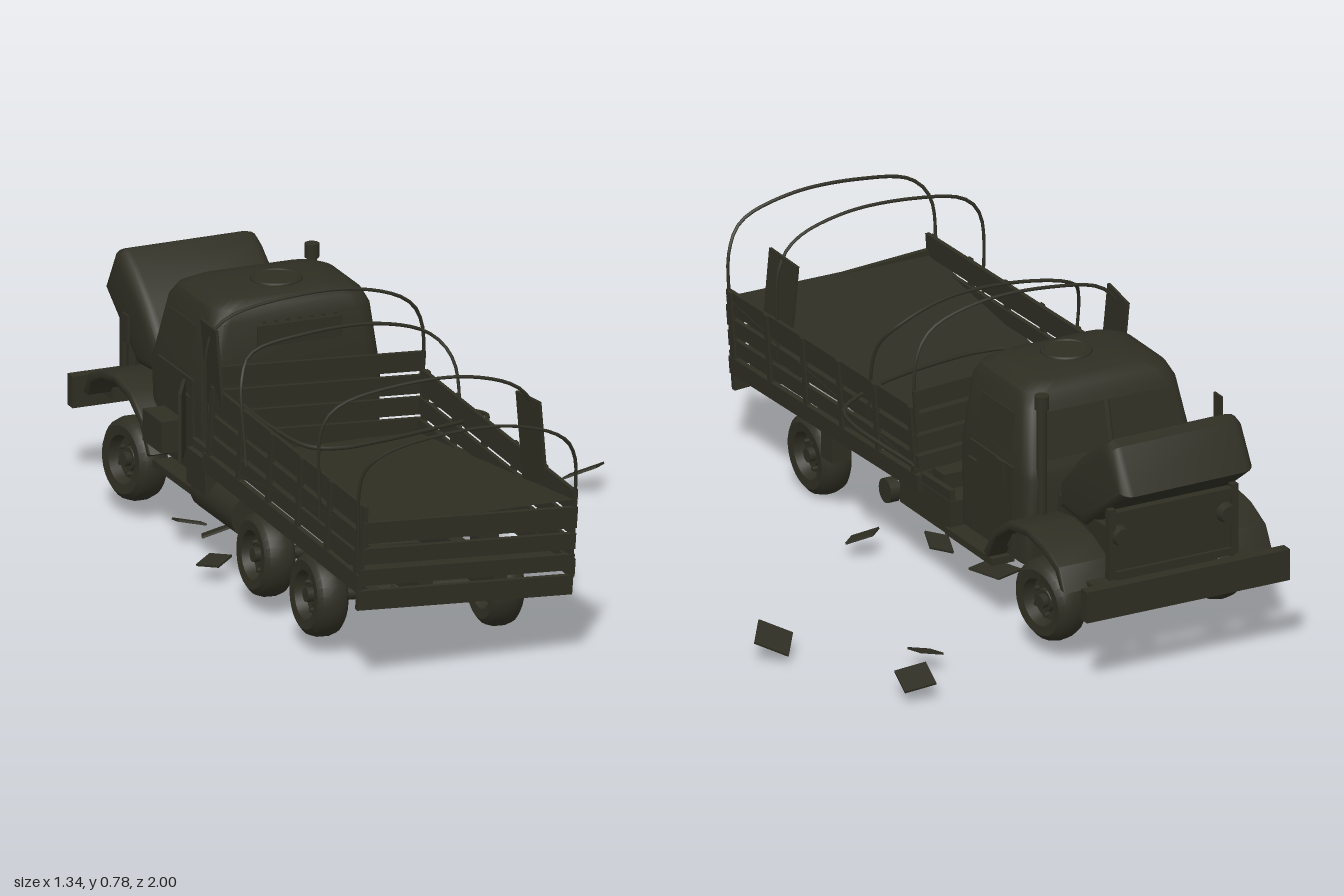
import * as THREE from 'three';
import { toCreasedNormals } from 'three/addons/utils/BufferGeometryUtils.js';

const CX = -0.31; // centre line of the truck

export function createModel() {
  const root = new THREE.Group();
  root.name = 'wreckedTruck';
  const olive = new THREE.MeshStandardMaterial({ color: 0x2f2e23, side: THREE.DoubleSide });
  olive.name = 'darkOlive';

  const add = (name, geo, parent = root) => {
    const m = new THREE.Mesh(geo, olive);
    m.name = name;
    parent.add(m);
    return m;
  };
  // box given by its limits
  const box = (name, x0, x1, y0, y1, z0, z1, parent) => {
    const m = add(name, new THREE.BoxGeometry(x1 - x0, y1 - y0, z1 - z0), parent);
    m.position.set((x0 + x1) / 2, (y0 + y1) / 2, (z0 + z1) / 2);
    return m;
  };
  const cyl = (name, r, len, x, y, z, axis = 'y', parent = root, r2 = r) => {
    const g = new THREE.CylinderGeometry(r, r2, len, 20);
    if (axis === 'x') g.rotateZ(Math.PI / 2);
    if (axis === 'z') g.rotateX(Math.PI / 2);
    const m = add(name, g, parent);
    m.position.set(x, y, z);
    return m;
  };
  const tube = (name, pts, r = 0.005) => {
    const c = new THREE.CatmullRomCurve3(pts.map(p => new THREE.Vector3(...p)), false, 'centripetal');
    return add(name, new THREE.TubeGeometry(c, pts.length * 5, r, 6));
  };
  // side profile in (z, y), extruded across x
  const profile = (name, pts, x0, x1, bevel) => {
    const s = new THREE.Shape(pts.map(p => new THREE.Vector2(...p)));
    const d = x1 - x0 - 2 * bevel;
    const g = new THREE.ExtrudeGeometry(s, {
      depth: d, bevelSize: bevel, bevelOffset: -bevel, bevelThickness: bevel, bevelSegments: 4
    });
    g.translate(0, 0, -d / 2).rotateY(-Math.PI / 2).translate((x0 + x1) / 2, 0, 0);
    return add(name, toCreasedNormals(g, 0.6));
  };
  // stack of rounded rectangles [y, halfWidth, zFront, zBack, cornerRadius]
  const loft = (name, levels) => {
    const pos = [], idx = [], n = 24;
    levels.forEach(([y, hw, z0, z1, r]) => {
      for (let i = 0; i < n; i++) {
        const q = Math.floor(i / 6), a = (q + (i % 6) / 5) * Math.PI / 2;
        const sx = q === 0 || q === 3 ? 1 : -1, sz = q < 2 ? 1 : -1;
        pos.push(CX + sx * (hw - r) + r * Math.cos(a), y, (z0 + z1) / 2 + sz * ((z1 - z0) / 2 - r) + r * Math.sin(a));
      }
    });
    for (let l = 0; l < levels.length - 1; l++) for (let i = 0; i < n; i++) {
      const a = l * n + i, b = l * n + (i + 1) % n;
      idx.push(a, a + n, b, b, a + n, b + n);
    }
    const top = (levels.length - 1) * n;
    for (let i = 1; i < n - 1; i++) idx.push(0, i, i + 1, top, top + i + 1, top + i);
    const g = new THREE.BufferGeometry();
    g.setAttribute('position', new THREE.Float32BufferAttribute(pos, 3));
    g.setIndex(idx);
    return add(name, toCreasedNormals(g, 0.6));
  };

  // cab with roof hatch, windows and doors
  loft('cab', [
    [0.22, 0.26, -0.59, -0.215, 0.03], [0.47, 0.265, -0.61, -0.215, 0.04], [0.5, 0.262, -0.6, -0.215, 0.045],
    [0.66, 0.24, -0.56, -0.22, 0.05], [0.695, 0.225, -0.54, -0.235, 0.06], [0.715, 0.19, -0.51, -0.26, 0.07], [0.722, 0.14, -0.46, -0.3, 0.07]
  ]);
  const hatch = add('roofHatch', new THREE.TorusGeometry(0.065, 0.007, 8, 24).rotateX(Math.PI / 2));
  hatch.position.set(-0.3, 0.722, -0.365);
  cyl('hatchLid', 0.062, 0.008, -0.3, 0.722, -0.365);
  box('rearWindow', -0.42, -0.17, 0.585, 0.645, -0.222, -0.213);
  for (let i = 0; i < 7; i++) cyl('rivet', 0.004, 0.012, -0.4 + i * 0.035, 0.655, -0.217, 'z');
  for (const s of [-1, 1]) {
    const pane = box('windscreenPane', -0.1, 0.1, -0.065, 0.065, -0.004, 0.004);
    pane.position.set(CX + s * 0.108, 0.585, -0.582);
    pane.rotation.x = 0.25;
    const side = box('sideWindow', -0.004, 0.004, -0.055, 0.055, -0.09, 0.09);
    side.position.set(CX + s * 0.252, 0.58, -0.41);
    side.rotation.z = s * 0.14;
    const door = CX + s * 0.266;
    box('door', door - 0.004, door + 0.004, 0.25, 0.49, -0.53, -0.29);
    cyl('doorHandle', 0.005, 0.04, door + s * 0.008, 0.44, -0.32, 'z');
    box('cabStep', CX + s * 0.27 - 0.035, CX + s * 0.27 + 0.035, 0.19, 0.21, -0.48, -0.22);
    // arched front fender reaching in to the engine bay
    const x = CX + s * 0.238;
    profile('frontFender', [
      [-0.46, 0.23], [-0.51, 0.31], [-0.6, 0.37], [-0.7, 0.385], [-0.8, 0.37], [-0.88, 0.335], [-0.915, 0.27],
      [-0.89, 0.27], [-0.86, 0.315], [-0.79, 0.345], [-0.7, 0.36], [-0.61, 0.345], [-0.53, 0.295], [-0.48, 0.22]
    ], x - 0.085, x + 0.085, 0.008);
    cyl('headlight', 0.032, 0.04, CX + s * 0.165, 0.42, -0.94, 'z', root, 0.024);
    box('radiatorPost', CX + s * 0.19 - 0.01, CX + s * 0.19 + 0.01, 0.3, 0.5, -0.945, -0.925);
    box('frontTowBracket', CX + s * 0.22 - 0.03, CX + s * 0.22 + 0.03, 0.25, 0.29, -0.97, -0.88);
  }
  box('mirrorRight', -0.654, -0.648, 0.52, 0.6, -0.6, -0.56);
  box('mirrorLeft', 0.034, 0.04, 0.48, 0.555, -0.62, -0.58);
  const flap = box('bentDoorPlate', -0.005, 0.005, -0.1, 0.1, -0.065, 0.065);
  flap.position.set(-0.615, 0.38, -0.28);
  flap.rotation.y = -0.5;
  box('sideBox', -0.645, -0.57, 0.27, 0.36, -0.48, -0.35);

  // engine bay, loose bonnet, grille and bumper
  box('engineBay', -0.48, -0.14, 0.24, 0.42, -0.91, -0.59);
  const hood = profile('bonnet', [
    [-0.63, 0.39], [-0.63, 0.47], [-0.72, 0.565], [-0.845, 0.66], [-0.885, 0.678], [-0.92, 0.667], [-0.99, 0.545], [-0.77, 0.38]
  ], -0.53, -0.11, 0.035);
  hood.rotation.y = 0.02;
  box('radiator', -0.5, -0.12, 0.3, 0.48, -0.935, -0.905);
  box('grilleTop', -0.51, -0.11, 0.47, 0.49, -0.945, -0.92);
  box('grilleBottom', -0.51, -0.11, 0.295, 0.315, -0.945, -0.92);
  box('frontBumper', -0.64, -0.01, 0.21, 0.3, -1, -0.965);
  cyl('exhaustStack', 0.014, 0.33, -0.09, 0.54, -0.605);
  cyl('stackCap', 0.02, 0.04, -0.09, 0.7, -0.605);
  cyl('airPipe', 0.014, 0.14, -0.51, 0.45, -0.6);

  // chassis, boxes and tank
  for (const x of [-0.42, -0.2]) box('chassisRail', x - 0.02, x + 0.02, 0.215, 0.27, -0.97, 0.93);
  for (const z of [-0.85, -0.45, -0.15, 0.1, 0.42, 0.75]) box('crossMember', -0.42, -0.2, 0.22, 0.26, z - 0.02, z + 0.02);
  box('gearbox', -0.38, -0.24, 0.15, 0.27, -0.55, -0.25);
  box('toolBox', -0.12, -0.015, 0.185, 0.285, -0.23, 0.05);
  box('batteryBox', -0.63, -0.56, 0.23, 0.33, -0.215, -0.09);
  box('smallCrate', -0.14, -0.04, 0.26, 0.33, -0.15, -0.09);
  box('sideBracket', -0.06, 0, 0.17, 0.28, 0.4, 0.46);
  cyl('fuelTank', 0.062, 0.28, -0.56, 0.21, -0.07, 'z');
  cyl('driveShaft', 0.012, 1.2, -0.31, 0.17, 0, 'z');

  // wheels and axles, one wheel missing
  const half = [[0, 0.02], [0.03, 0.022], [0.035, 0.01], [0.06, 0.012], [0.068, 0.043], [0.095, 0.046], [0.11, 0.034]];
  const ring = [...half.map(([r, y]) => [r, -y]), [0.117, -0.012], [0.117, 0.012], ...half.slice().reverse()];
  const tyre = toCreasedNormals(
    new THREE.LatheGeometry(ring.map(p => new THREE.Vector2(...p)), 28).rotateZ(Math.PI / 2), 0.6);
  const wheel = (name, x, y, z, steer = 0) => {
    const g = new THREE.Group();
    g.name = name;
    add('tyre', tyre, g);
    cyl('hub', 0.02, 0.08, 0, 0, 0, 'x', g);
    for (let i = 0; i < 6; i++) {
      const a = i * Math.PI / 3;
      cyl('wheelNut', 0.006, 0.05, 0, 0.045 * Math.cos(a), 0.045 * Math.sin(a), 'x', g);
    }
    g.position.set(x, y, z);
    g.rotation.set(0, steer, -0.05);
    root.add(g);
  };
  wheel('frontWheelLeft', -0.07, 0.16, -0.69, 0.15);
  wheel('frontWheelRight', -0.593, 0.16, -0.65, 0.15);
  wheel('middleWheelRight', -0.593, 0.16, 0.24);
  wheel('rearWheelRight', -0.593, 0.157, 0.6);
  wheel('rearWheelLeft', -0.073, 0.118, 0.6);
  for (const [z, y] of [[-0.67, 0.16], [0.24, 0.145], [0.6, 0.138]]) {
    cyl('axle', 0.018, 0.5, -0.335, y, z, 'x').rotation.z = -0.05;
    const d = add('differential', new THREE.SphereGeometry(0.05, 18, 12));
    d.position.set(-0.34, y, z);
    for (const x of [-0.47, -0.16]) box('leafSpring', x - 0.015, x + 0.015, y + 0.02, y + 0.045, z - 0.14, z + 0.14);
  }
  cyl('bareHub', 0.035, 0.03, -0.09, 0.135, 0.24, 'x');

  // sagging cargo bed
  const bed = new THREE.Group();
  bed.name = 'cargoBed';
  bed.position.set(-0.313, 0.32, 0.435);
  bed.rotation.set(0.028, 0, -0.06);
  root.add(bed);
  // warped floor sheet, lifted towards the tail
  const floor = new THREE.PlaneGeometry(0.636, 1.05, 4, 6).rotateX(-Math.PI / 2);
  const fp = floor.attributes.position;
  for (let i = 0; i < fp.count; i++) fp.setY(i, 0.075 + 0.15 * fp.getZ(i) + 0.06 * fp.getX(i));
  floor.computeVertexNormals();
  add('bedFloor', floor, bed);
  for (const z of [-0.45, 0.4]) box('floorBeam', -0.31, 0.31, -0.055, -0.02, z - 0.02, z + 0.02, bed);
  for (const s of [-1, 1]) {
    box('sideSkirt', s * 0.315 - 0.008, s * 0.315 + 0.008, -0.05, 0, -0.525, 0.525, bed);
    box('skirtExtension', s * 0.29 - 0.008, s * 0.29 + 0.008, -0.05, -0.005, -0.66, -0.5, bed);
    for (let i = 0; i < 6; i++) {
      const z = -0.5 + i * 0.2;
      box('sidePost', s * 0.316 - 0.006, s * 0.316 + 0.006, -0.05, 0.195, z - 0.01, z + 0.01, bed);
    }
    for (const [a, b] of [[0.01, 0.055], [0.07, 0.115], [0.13, 0.195]])
      box('sideSlat', s * 0.31 - 0.006, s * 0.31 + 0.006, a, b, -0.525, 0.525, bed);
  }
  for (const [a, b] of [[0.01, 0.055], [0.065, 0.115], [0.125, 0.178], [0.19, 0.245]])
    box('headSlat', -0.315, 0.315, a, b, -0.526, -0.514, bed);
  for (const [a, b] of [[-0.1, -0.045], [-0.03, 0.015], [0.03, 0.075], [0.09, 0.15]])
    box('tailSlat', -0.318, 0.318, a, b, 0.512, 0.528, bed);

  // cover hoops: base z, top z, top height
  for (const [zb, zt, h] of [[0.95, 0.995, 0.705], [0.69, 0.7, 0.755], [0.19, 0.11, 0.725], [-0.08, -0.06, 0.772]]) {
    const m = (zb + zt) / 2;
    tube('coverHoop', [
      [-0.63, 0.4, zb], [-0.625, h - 0.09, m], [-0.58, h - 0.035, zt], [-0.42, h, zt], [-0.2, h, zt],
      [-0.05, h - 0.05, zt], [0, h - 0.12, m], [0.005, 0.38, zb]
    ]);
  }
  tube('brokenHoop', [
    [-0.55, 0.5, -0.02], [-0.53, 0.48, 0.12], [-0.48, 0.46, 0.27], [-0.4, 0.455, 0.3], [-0.28, 0.455, 0.29],
    [-0.1, 0.455, 0.25], [0, 0.45, 0.215], [0.09, 0.435, 0.17], [0.11, 0.425, 0.1], [0.055, 0.38, -0.15]
  ], 0.006);

  // torn side plates
  for (const [x, y, z, w, h, ry] of [[-0.005, 0.545, 0.695, 0.14, 0.25, 0.06], [-0.615, 0.6, -0.07, 0.135, 0.24, -0.1]]) {
    const p = add('tornPlate', new THREE.BoxGeometry(0.008, h, w));
    p.position.set(x, y, z);
    p.rotation.set(-0.06, ry, 0.06);
  }

  // scattered debris: x, z, size, turn
  [[0.4, -0.78, 0.09, 0.2], [0.285, -0.63, 0.07, 0], [0.6, -0.35, 0.1, 0.6], [0.04, 0.16, 0.08, 0.7], [-0.51, -0.28, 0.09, 0.4],
    [-0.62, -0.05, 0.07, 0.9], [-0.55, -0.38, 0.08, 0.2], [-0.16, -0.22, 0.1, 1.1], [-0.12, 0.02, 0.07, 0.3]
  ].forEach(([x, z, s, a], i) => {
    const d = add('debris', new THREE.BoxGeometry(s, 0.006, s * 1.1));
    d.position.set(x, 0.055, z);
    d.rotation.set(i % 2 ? 0.2 : -0.25, -a, i % 3 ? 0.25 : -0.25);
  });
  return root;
}
